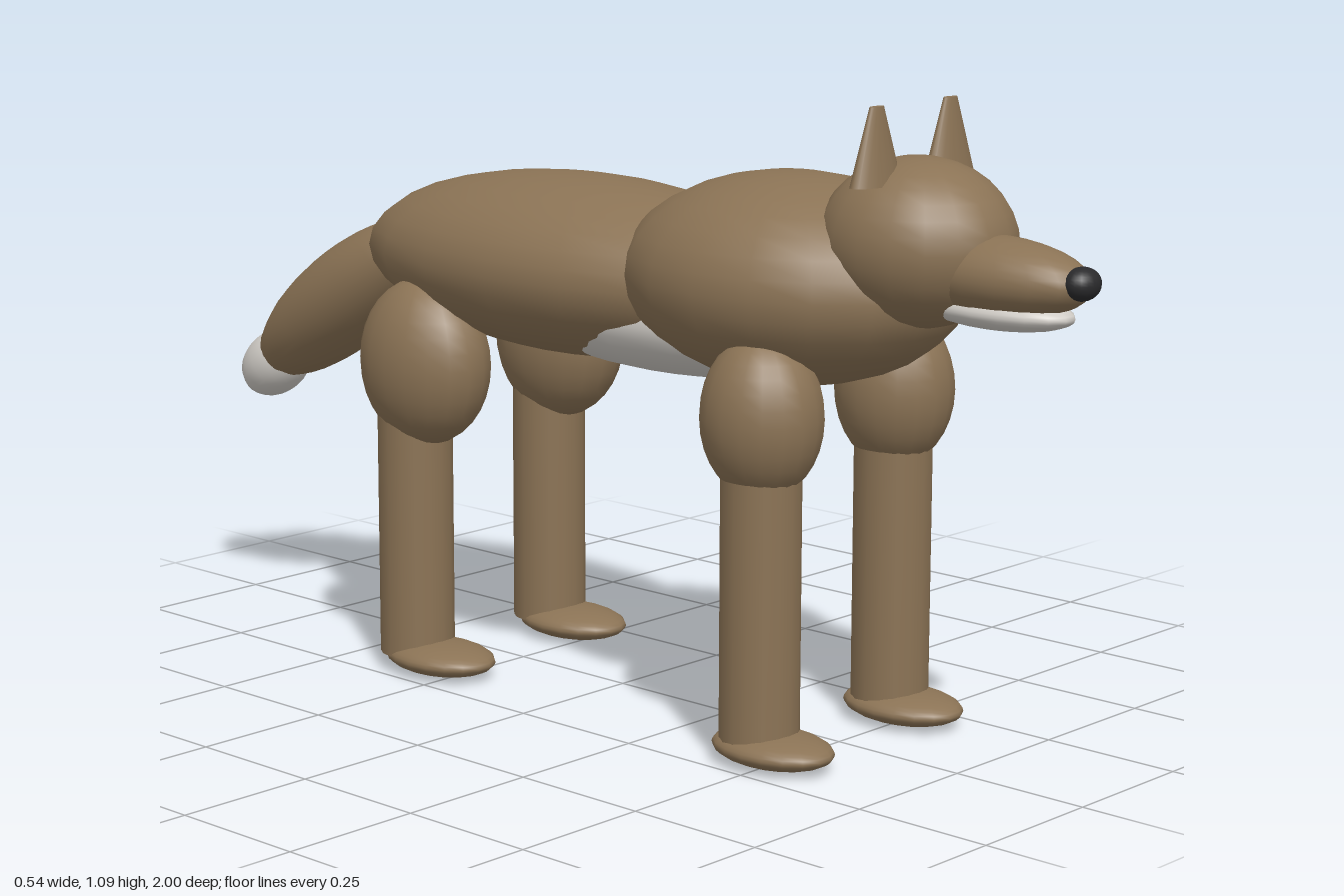
import * as THREE from 'three';

const fur = new THREE.MeshStandardMaterial({ name: 'brown fur', color: 0x8b7355 });
const pale = new THREE.MeshStandardMaterial({ name: 'pale fur', color: 0xd0ccc6 });
const dark = new THREE.MeshStandardMaterial({ name: 'dark nose', color: 0x2a2a2c });

const ball = new THREE.SphereGeometry(1, 18, 16);

export function createModel() {
  const model = new THREE.Group();
  model.name = 'canine';

  const add = (parent, name, geometry, material, position, scale = [1, 1, 1], tilt = 0) => {
    const mesh = new THREE.Mesh(geometry, material);
    mesh.name = name;
    mesh.position.set(...position);
    mesh.scale.set(...scale);
    mesh.rotation.x = tilt;
    parent.add(mesh);
    return mesh;
  };
  const blob = (name, material, position, radii, tilt, parent = model) =>
    add(parent, name, ball, material, position, radii, tilt);

  // Trunk
  blob('body', fur, [0, 0.749, -0.1], [0.24, 0.157, 0.485]);
  blob('chest', fur, [0, 0.78, 0.39], [0.253, 0.176, 0.315]);
  blob('belly', pale, [0, 0.69, 0.13], [0.18, 0.102, 0.4]);

  // Head
  blob('head', fur, [0, 0.866, 0.65], [0.155, 0.139, 0.168]);
  blob('muzzle', fur, [0, 0.829, 0.8], [0.084, 0.065, 0.185]);
  blob('lowerJaw', pale, [0, 0.775, 0.81], [0.068, 0.03, 0.145]);
  blob('nose', dark, [0, 0.835, 0.972], [0.035, 0.027, 0.028]);

  // Tail, sloping down and back
  blob('tail', fur, [0, 0.61, -0.715], [0.1, 0.092, 0.27], -0.605);
  blob('tailTip', pale, [0, 0.46, -0.922], [0.06, 0.06, 0.085], -0.605);

  // Flattened cone ears with blunt tips
  const earShape = new THREE.CylinderGeometry(0.016, 0.058, 0.125, 16);
  const shin = new THREE.CylinderGeometry(0.067, 0.067, 0.47, 16);

  // Front and rear legs: thigh, shin and paw
  const legs = [
    { name: 'front', thigh: [0.58, 0.47], radii: [0.1, 0.136, 0.105], shinZ: 0.47, pawZ: 0.5 },
    { name: 'rear', thigh: [0.566, -0.322], radii: [0.1, 0.15, 0.134], shinZ: -0.35, pawZ: -0.29 },
  ];

  for (const [sideName, side] of [['left', 1], ['right', -1]]) {
    add(model, sideName + 'Ear', earShape, fur, [side * 0.0935, 1.0275, 0.637], [1, 1, 0.43]);
    for (const leg of legs) {
      const group = new THREE.Group();
      group.name = `${sideName} ${leg.name} leg`;
      group.position.x = side * 0.17;
      blob('upperLeg', fur, [0, ...leg.thigh], leg.radii, 0, group);
      add(group, 'lowerLeg', shin, fur, [0, 0.265, leg.shinZ]);
      blob('paw', fur, [0, 0.029, leg.pawZ], [0.08, 0.029, 0.115], 0, group);
      model.add(group);
    }
  }
  return model;
}
